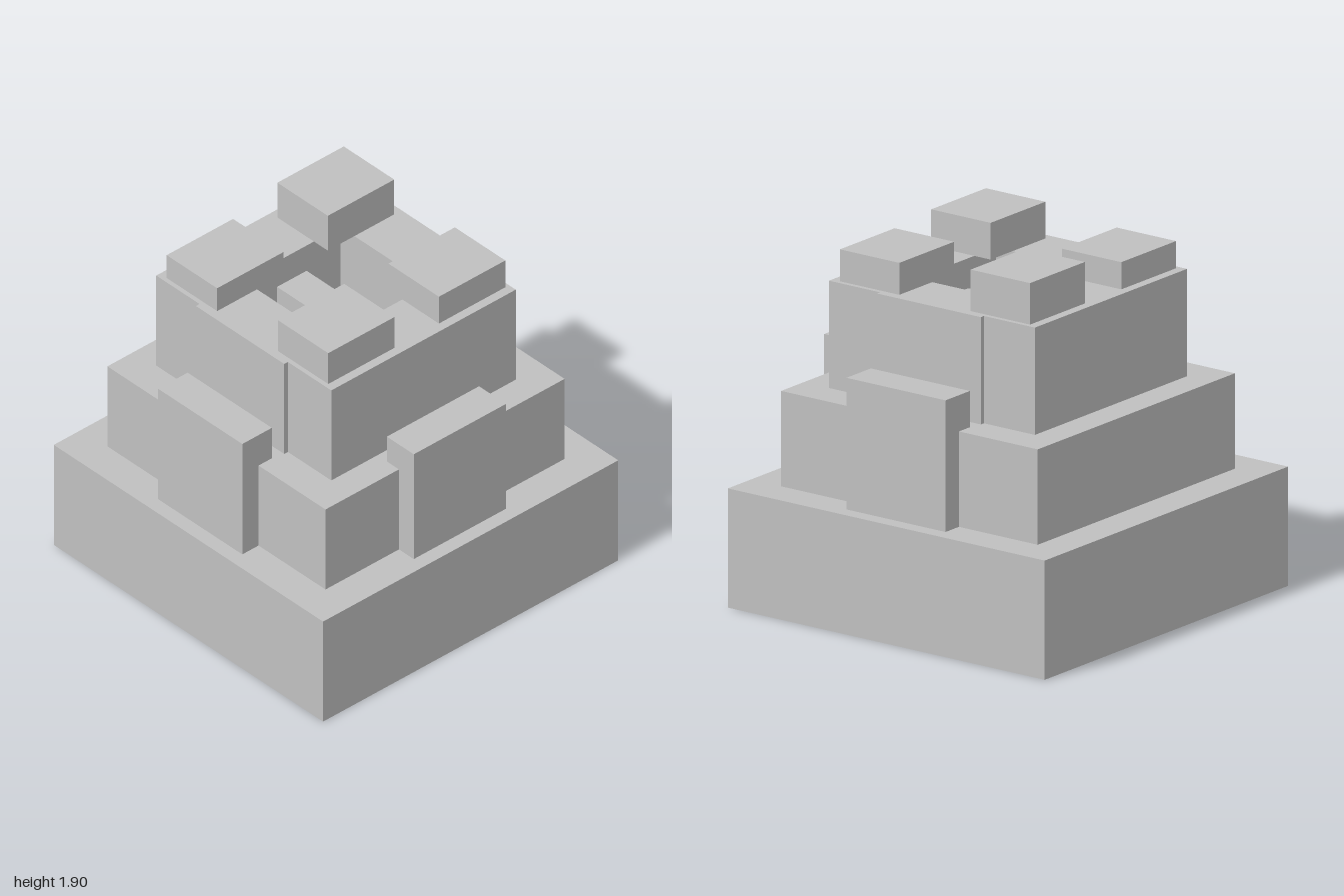
import * as THREE from 'three';

export function createModel() {
  const model = new THREE.Group();
  const stone = new THREE.MeshStandardMaterial({ color: 0xc0c0c0 });
  stone.name = 'stone grey';

  // Block given by its extents along each axis
  function block(name, [x0, x1], [y0, y1], [z0, z1]) {
    const mesh = new THREE.Mesh(new THREE.BoxGeometry(x1 - x0, y1 - y0, z1 - z0), stone);
    mesh.name = name;
    mesh.position.set((x0 + x1) / 2, (y0 + y1) / 2, (z0 + z1) / 2);
    model.add(mesh);
  }
  // Range mirrored to the given side of the axis
  const side = (s, a, b) => (s > 0 ? [a, b] : [-b, -a]);

  const baseTop = 0.625, tierTop = 1.125, wallTop = 1.6875;

  // Stepped lower tiers
  block('base', [-1, 1], [0, baseTop], [-1, 1]);
  block('middleTier', [-0.81, 0.81], [baseTop, tierTop], [-0.81, 0.81]);

  // Buttresses on the front and both sides
  block('frontButtress', [-0.3125, 0.3125], [baseTop, 1.28], [0.72, 0.92]);
  for (const s of [-1, 1]) {
    block(s > 0 ? 'leftButtress' : 'rightButtress',
      side(s, 0.72, 0.92), [baseTop, 1.315], [-0.3125, 0.3125]);
  }

  // Upper walls around an open courtyard
  for (const s of [-1, 1]) {
    block(s > 0 ? 'frontWall' : 'backWall',
      [-0.625, 0.625], [tierTop, wallTop], side(s, 0.328, 0.65));
    block(s > 0 ? 'leftWall' : 'rightWall',
      side(s, 0.33, 0.65), [tierTop, wallTop], [-0.328, 0.328]);
  }

  // Dividing wall across the courtyard
  block('courtyardDivider', [-0.1, 0.1], [tierTop, 1.53], [-0.328, 0.328]);

  // Corner merlons, each a little different in height
  const merlons = [
    ['frontRightMerlon', -1, 1, 1.88], ['frontLeftMerlon', 1, 1, 1.855],
    ['backRightMerlon', -1, -1, 1.83], ['backLeftMerlon', 1, -1, 1.905],
  ];
  for (const [name, sx, sz, top] of merlons) {
    block(name, side(sx, 0.15, 0.6), [wallTop, top], side(sz, 0.225, 0.6));
  }

  return model;
}
